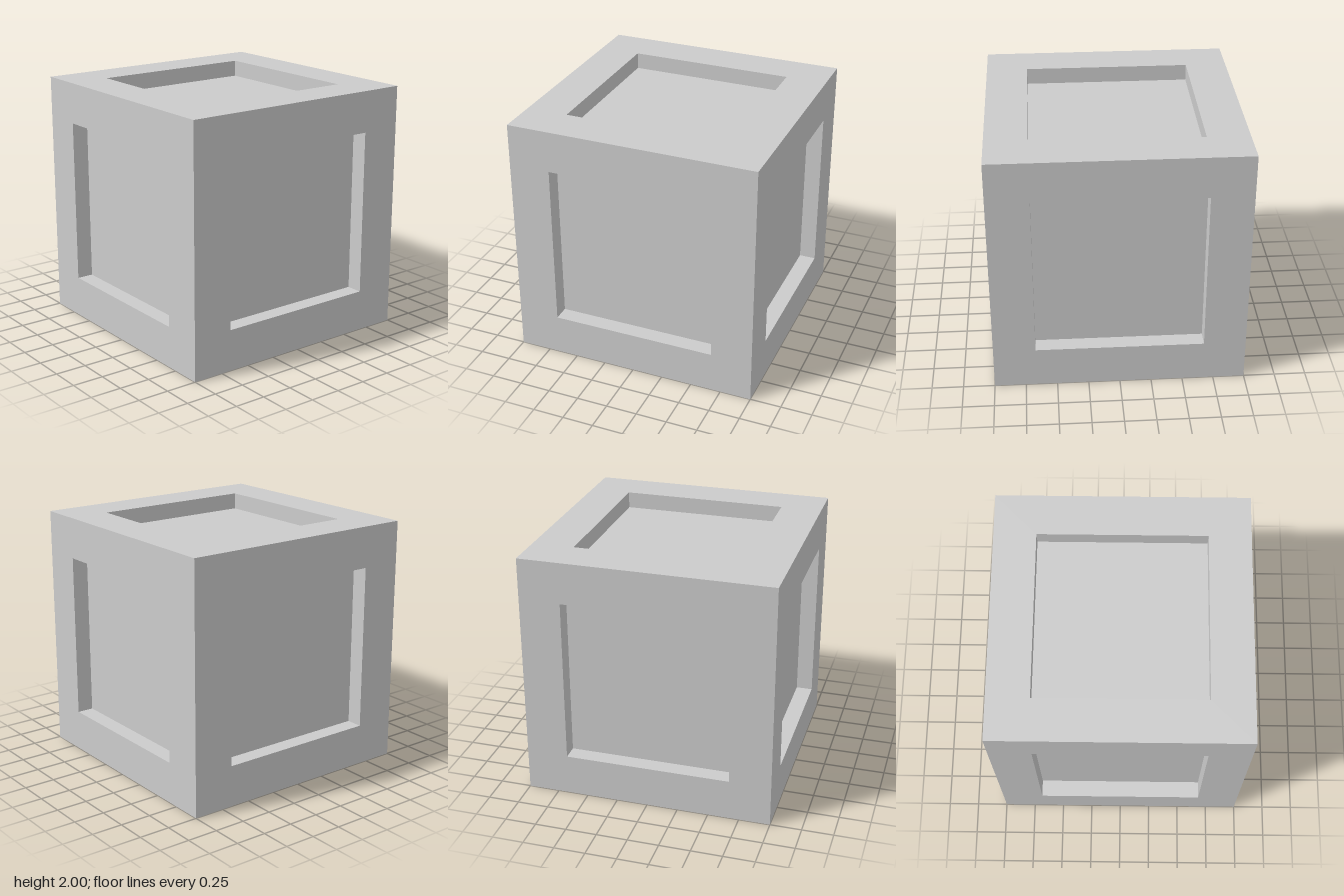
import * as THREE from 'three';
import { mergeGeometries } from 'three/addons/utils/BufferGeometryUtils.js';

const HALF = 1;        // half the cube's side
const OPEN = 2 / 3;    // half the recess's side
const DEPTH = 2 / 15;  // recess depth

const square = (Path, r) =>
  new Path([[-r, -r], [r, -r], [r, r], [-r, r]].map(([x, y]) => new THREE.Vector2(x, y)));

// Flat border around the square opening
function frameGeometry() {
  const shape = square(THREE.Shape, HALF);
  shape.holes.push(square(THREE.Path, OPEN));
  return new THREE.ShapeGeometry(shape).translate(0, 0, HALF);
}

// Four walls facing into the opening
function wallsGeometry() {
  const walls = [];
  for (let i = 0; i < 4; i++) {
    walls.push(new THREE.PlaneGeometry(2 * OPEN, DEPTH)
      .rotateX(-Math.PI / 2)
      .translate(0, -OPEN, HALF - DEPTH / 2)
      .rotateZ(i * Math.PI / 2));
  }
  return mergeGeometries(walls);
}

export function createModel() {
  const model = new THREE.Group();
  model.name = 'recessedCube';
  const material = new THREE.MeshStandardMaterial({ color: 0xcccccc, flatShading: true });

  const parts = {
    frame: frameGeometry(),
    recessWalls: wallsGeometry(),
    recessFloor: new THREE.PlaneGeometry(2 * OPEN, 2 * OPEN).translate(0, 0, HALF - DEPTH),
  };

  // The same panel turned to each of the six sides
  const q = Math.PI / 2;
  const sides = {
    front: [0, 0], left: [0, q], back: [0, 2 * q], right: [0, -q], top: [-q, 0], bottom: [q, 0],
  };
  for (const [side, [rx, ry]] of Object.entries(sides)) {
    const panel = new THREE.Group();
    panel.name = side + 'Panel';
    panel.rotation.set(rx, ry, 0);
    panel.position.y = HALF;
    for (const [name, geometry] of Object.entries(parts)) {
      const mesh = new THREE.Mesh(geometry, material);
      mesh.name = name;
      panel.add(mesh);
    }
    model.add(panel);
  }
  return model;
}
